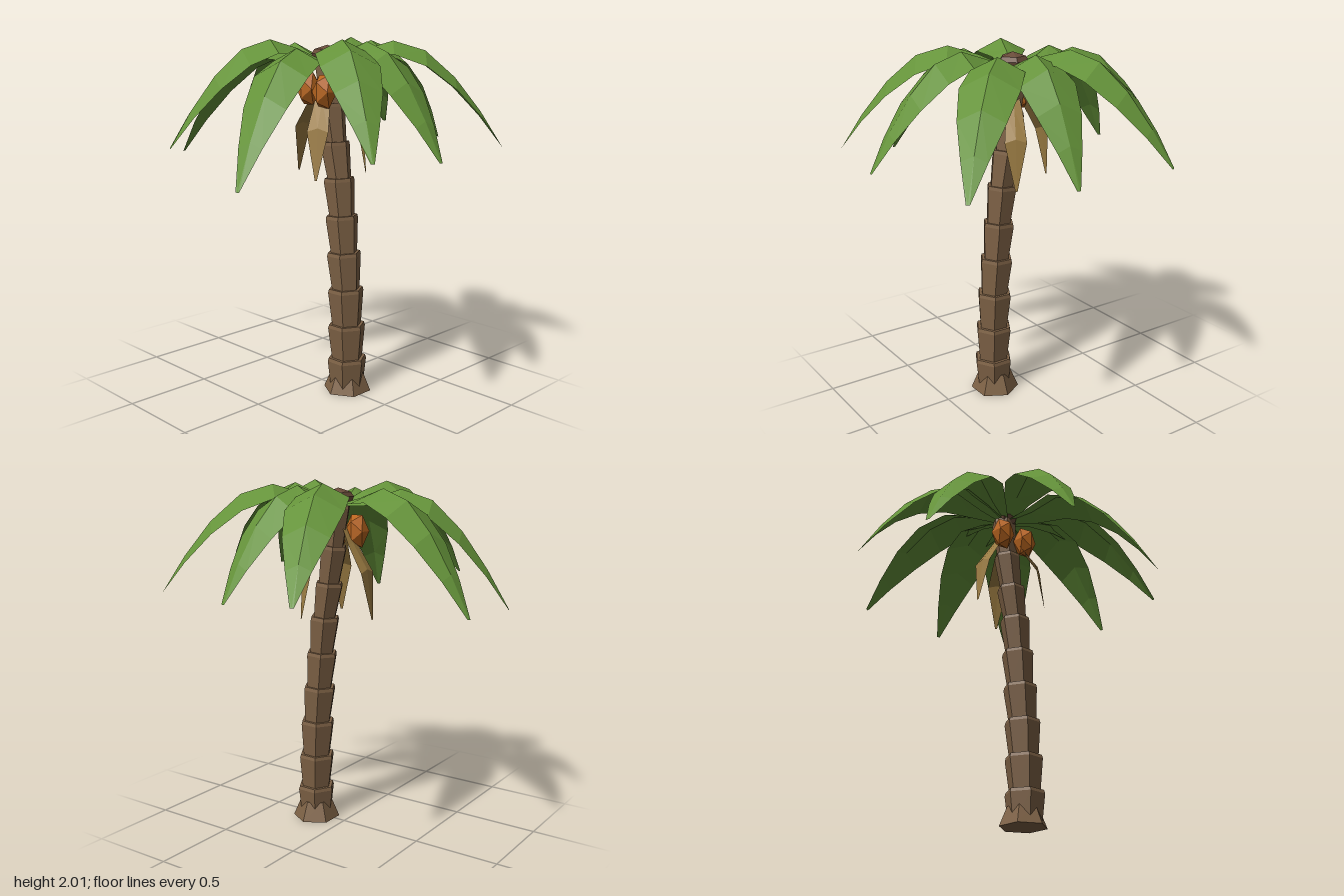
import * as THREE from 'three';

const material = (color, side = THREE.FrontSide) =>
  new THREE.MeshStandardMaterial({ color, side, flatShading: true });

const CROWN_X = 0.04;

// Folded leaf: sections are [radius, ridge height, half width, edge drop] along one direction
function leafGeometry(sections, angle) {
  const dx = Math.cos(angle), dz = Math.sin(angle);
  const pos = [], index = [];
  sections.forEach(([r, y, w, drop], i) => {
    for (const s of [-1, 0, 1]) {
      pos.push(CROWN_X + dx * r - dz * w * s, y - drop * Math.abs(s), dz * r + dx * w * s);
    }
    if (i === 0) return;
    const a = (i - 1) * 3, b = i * 3;
    for (const k of [0, 1]) {
      index.push(a + k, a + k + 1, b + k, a + k + 1, b + k + 1, b + k);
    }
  });
  const geo = new THREE.BufferGeometry();
  geo.setAttribute('position', new THREE.Float32BufferAttribute(pos, 3));
  geo.setIndex(index);
  geo.computeVertexNormals();
  return geo;
}

// Stacked hexagonal rings around a bending axis: each ring is [x, y, radius, tilt]
function trunkGeometry(rings, sides) {
  const pos = [], index = [];
  rings.forEach(([x, y, r, tilt], i) => {
    for (let k = 0; k < sides; k++) {
      const a = (k / sides) * Math.PI * 2;
      const c = r * Math.cos(a);
      pos.push(x + c, y + c * tilt, -0.012 + r * Math.sin(a));
      if (i === 0) continue;
      const n = (k + 1) % sides, lo = (i - 1) * sides, hi = i * sides;
      index.push(lo + k, hi + k, lo + n, lo + n, hi + k, hi + n);
    }
  });
  const top = (rings.length - 1) * sides;
  for (let k = 1; k < sides - 1; k++) {
    index.push(0, k, k + 1, top, top + k + 1, top + k);
  }
  const geo = new THREE.BufferGeometry();
  geo.setAttribute('position', new THREE.Float32BufferAttribute(pos, 3));
  geo.setIndex(index);
  geo.computeVertexNormals();
  return geo;
}

export function createModel() {
  const tree = new THREE.Group();
  tree.name = 'palmTree';
  const add = (name, geo, mat, parent = tree) => {
    const mesh = new THREE.Mesh(geo, mat);
    mesh.name = name;
    parent.add(mesh);
    return mesh;
  };
  const bark = material(0x7d6145);
  const green = material(0x65933a, THREE.DoubleSide);
  const dry = material(0x9a7b42, THREE.DoubleSide);
  const orange = material(0xb8651f);

  // Trunk: segments that widen upward and step in at each ring
  const joints = [[0.195, 0], [0.195, 0.2], [0.19, 0.4], [0.182, 0.61], [0.166, 0.82],
    [0.148, 1.03], [0.126, 1.24], [0.094, 1.44], [0.062, 1.65], [0.035, 1.88]];
  const rings = [];
  for (let i = 0; i < joints.length - 1; i++) {
    const [x0, y0] = joints[i], [x1, y1] = joints[i + 1];
    const r = 0.115 - 0.0052 * i, tilt = i === 0 ? 0 : 0.01 * i;
    rings.push([x0, y0, r * 0.82, tilt]);
    rings.push([x1, y1 - 0.02, r, tilt + 0.01], [x1, y1, r * 0.95, tilt + 0.01]);
  }
  add('trunk', trunkGeometry(rings, 6), bark);

  // Flared foot, turned half a side against the trunk
  const foot = add('trunkFoot', new THREE.CylinderGeometry(0.092, 0.138, 0.11, 6), bark);
  foot.position.set(0.19, 0.055, -0.02);

  // Bud on top of the trunk
  const budProfile = [[0, 1.84], [0.06, 1.85], [0.088, 1.92], [0.07, 1.945], [0, 1.968]];
  const bud = add('crownBud',
    new THREE.LatheGeometry(budProfile.map(([r, y]) => new THREE.Vector2(r, y)), 5, Math.PI / 2),
    material(0x6a4c3a));
  bud.position.x = CROWN_X;

  // Green fronds, given by the position of each tip
  const tips = [[-0.32, 1.46, -0.89], [0.2, 1.41, -0.79], [0.75, 1.41, -0.67],
    [0.885, 1.41, 0.05], [0.84, 1.45, 0.5], [0.33, 1.3, 0.885],
    [-0.3, 1.44, 0.82], [-0.86, 1.325, 0.33], [-0.89, 1.36, -0.21]];
  // [fraction of length, fraction of height, half width, edge drop]
  const frondShape = [[0.19, 0.91, 0.085, 0.03], [0.37, 1, 0.142, 0.07], [0.55, 0.91, 0.155, 0.08],
    [0.72, 0.66, 0.122, 0.06], [0.87, 0.34, 0.067, 0.03], [1, 0, 0.01, 0]];
  const fronds = new THREE.Group();
  fronds.name = 'fronds';
  tree.add(fronds);
  for (const [x, y, z] of tips) {
    const length = Math.hypot(x - CROWN_X, z);
    const peak = 1.99 + (y - 1.41) * 0.3;
    const sections = [[0.02, 1.88, 0.025, 0.01],
      ...frondShape.map(([t, h, w, d]) => [t * length, y + h * (peak - y), w, d])];
    add('frond', leafGeometry(sections, Math.atan2(z, x - CROWN_X)), green, fronds);
  }

  // Three dry leaves hanging below the crown
  const drySections = [[0.03, 1.78, 0.02, 0], [0.1, 1.67, 0.045, 0.01],
    [0.195, 1.53, 0.06, 0.02], [0.23, 1.25, 0.006, 0]];
  for (let i = 0; i < 3; i++) {
    add('dryLeaf', leafGeometry(drySections, Math.PI / 3 + (i * Math.PI * 2) / 3), dry);
  }

  // Fruit
  for (const [x, y, z] of [[-0.045, 1.73, 0.06], [0.11, 1.72, 0.09]]) {
    const fruit = add('fruit', new THREE.IcosahedronGeometry(0.07, 0), orange);
    fruit.scale.set(1, 1.5, 1);
    fruit.position.set(x, y, z);
  }
  return tree;
}
